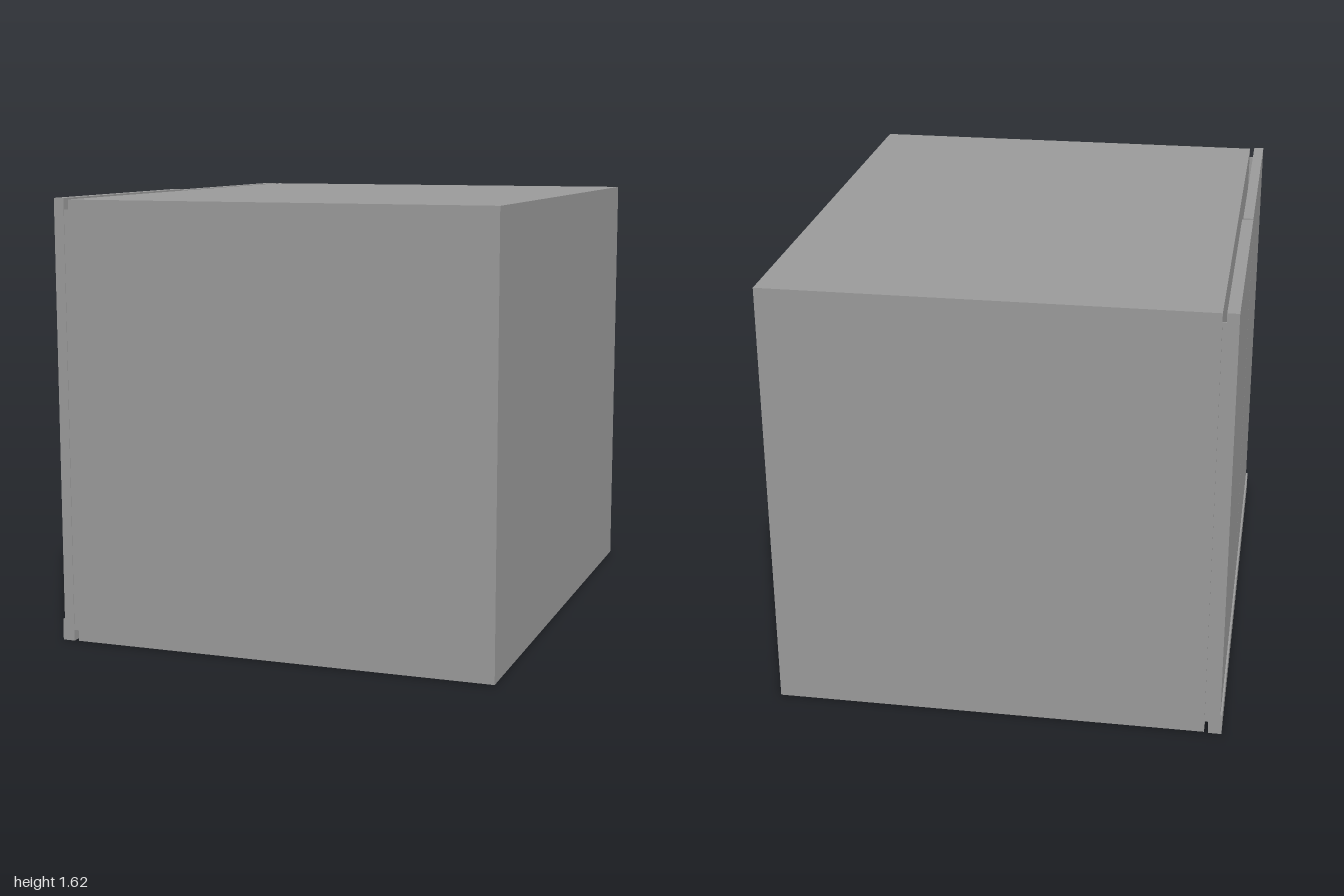
import * as THREE from 'three';

const material = new THREE.MeshStandardMaterial({ color: 0x9b9b9b, flatShading: true });

// Box given by its extents along each axis
function block(name, [x0, x1], [y0, y1], [z0, z1]) {
  const mesh = new THREE.Mesh(new THREE.BoxGeometry(x1 - x0, y1 - y0, z1 - z0), material);
  mesh.name = name;
  mesh.position.set((x0 + x1) / 2, (y0 + y1) / 2, (z0 + z1) / 2);
  return mesh;
}

// Door: side profile with a kick plate at the foot, extruded along z
function door(name, inner, bottom, top, z0, z1) {
  const profile = new THREE.Shape([
    [inner, bottom], [inner, top], [-0.812, top],
    [-0.812, 0.08], [-0.819, 0.08], [-0.819, bottom],
  ].map(([x, y]) => new THREE.Vector2(x, y)));
  const geometry = new THREE.ExtrudeGeometry(profile, { depth: z1 - z0, bevelEnabled: false });
  const mesh = new THREE.Mesh(geometry, material);
  mesh.name = name;
  mesh.position.z = z0;
  return mesh;
}

export function createModel() {
  const group = new THREE.Group();
  group.name = 'cabinet';

  // Main cabinet body
  group.add(block('body', [-0.756, 0.819], [0.003, 1.615], [-1, 1]));

  // Pair of doors meeting at a narrow seam, the front one set slightly higher
  group.add(door('frontDoor', -0.774, 0.002, 1.62, 0.002, 1));
  group.add(door('rearDoor', -0.77, 0, 1.616, -1, -0.002));

  // Thin upright seals closing the gap between doors and body, the rear one recessed
  group.add(block('frontSeal', [-0.774, -0.756], [0.042, 1.58], [0.992, 0.998]));
  group.add(block('rearSeal', [-0.77, -0.756], [0.042, 1.58], [-0.992, -0.986]));
  return group;
}
